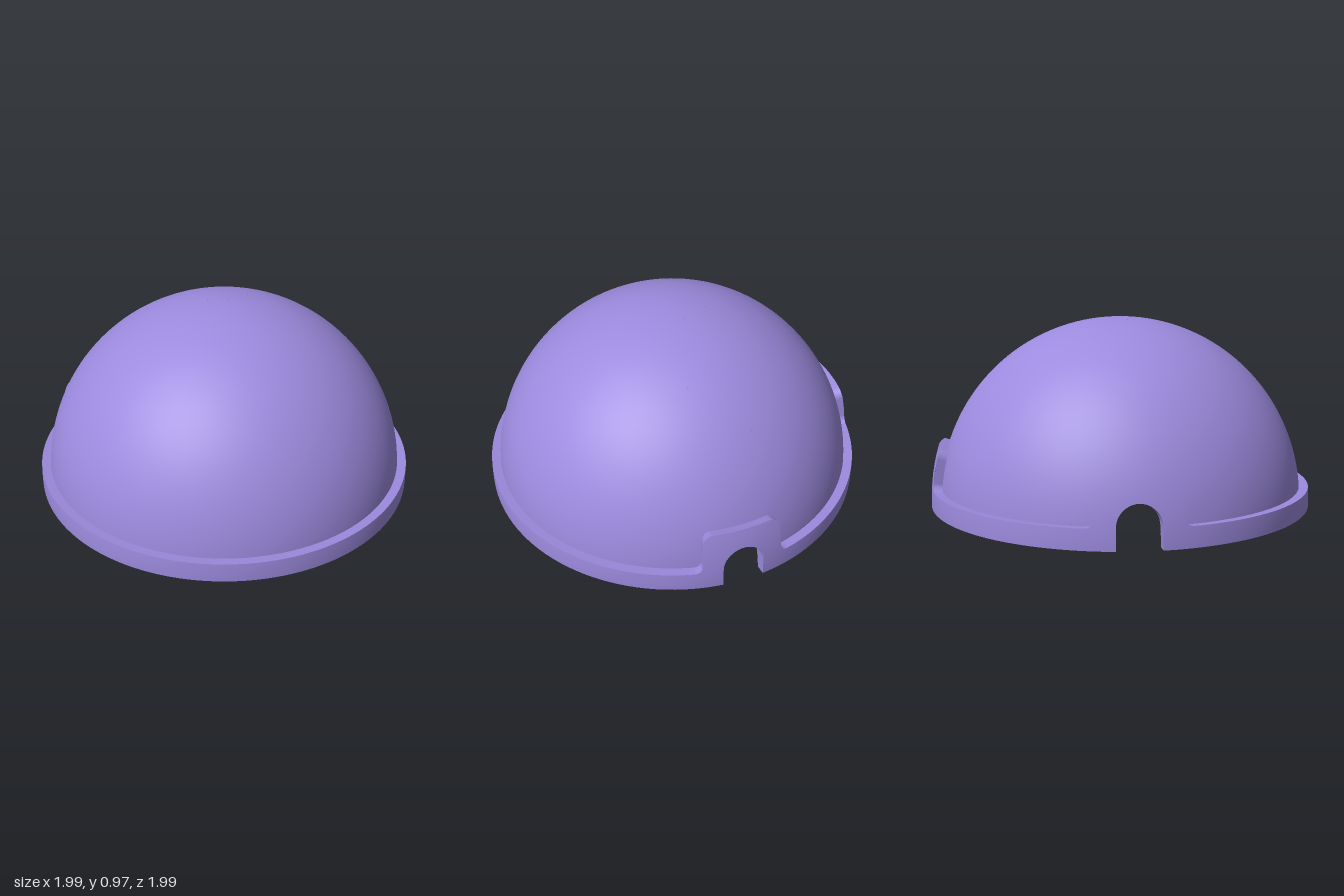
import * as THREE from 'three';
import { toCreasedNormals } from 'three/addons/utils/BufferGeometryUtils.js';

const CY = 0.02;            // height of the sphere centre
const R_RIM = 1, R_DOME = 0.953;
const RIM_TOP = 0.1, TAB_TOP = 0.31;
const SLOT = 0.105;         // half width of the arched slot

const elev = (y) => Math.asin(y - CY);
// Inner wall, opening slightly towards the base
const innerR = (e) => 0.935 + 0.02 * Math.min(1, Math.max(0, 1 - e / 0.1));

// Half of a raised tab: columns of [sideways offset, top height, bottom height]
function halfTab() {
  const cols = [];
  for (let i = 0; i <= 12; i++) {
    const a = (i / 12) * Math.PI / 2;
    cols.push([SLOT * Math.sin(a), TAB_TOP, SLOT + SLOT * Math.cos(a)]);
  }
  cols.push([SLOT, TAB_TOP, 0]);                       // straight slot wall
  for (let i = 0; i <= 6; i++) {                       // rounded shoulder
    const a = (i / 6) * Math.PI / 2;
    cols.push([0.155 + 0.05 * Math.sin(a), 0.26 + 0.05 * Math.cos(a), 0]);
  }
  for (let i = 0; i <= 6; i++) {                       // fillet into the rim
    const a = (i / 6) * Math.PI / 2;
    cols.push([0.245 - 0.04 * Math.cos(a), 0.14 - 0.04 * Math.sin(a), 0]);
  }
  return cols;
}

// All columns around the dome: azimuth, top and bottom elevation
function makeColumns() {
  const half = halfTab();
  const tab = [...half.slice(1).reverse().map(([s, t, b]) => [-s, t, b]), ...half];
  const edge = Math.asin(0.245);
  const cols = [];
  const add = (phi, t, b) => cols.push({ phi, top: elev(t), bottom: elev(b) });
  const addTab = (phi) => tab.forEach(([s, t, b]) => add(phi + Math.asin(s), t, b));
  const addPlain = (from, to, n) => {
    for (let i = 1; i < n; i++) add(from + (to - from) * i / n, RIM_TOP, 0);
  };
  addTab(Math.PI);
  addPlain(Math.PI + edge, Math.PI * 1.5 - edge, 24);
  addTab(Math.PI * 1.5);
  addPlain(Math.PI * 1.5 + edge, Math.PI * 3 - edge, 90);
  cols.push({ ...cols[0], phi: cols[0].phi + Math.PI * 2 });
  return cols;
}

// Surface band over all columns; at(col, v) gives [elevation, radius].
// side is 1 or -1 for spherical bands, 0 for cut edges.
function band(cols, rows, side, at) {
  const pos = [], nor = [], idx = [];
  const w = rows + 1;
  cols.forEach((c, i) => {
    for (let j = 0; j <= rows; j++) {
      const [e, r] = at(c, j / rows);
      const d = [Math.cos(e) * Math.cos(c.phi), Math.sin(e), Math.cos(e) * Math.sin(c.phi)];
      pos.push(r * d[0], Math.max(0, r * d[1] + CY), r * d[2]);
      nor.push(d[0] * side, d[1] * side, d[2] * side);
      if (i < cols.length - 1 && j < rows) {
        const a = i * w + j;
        idx.push(a, a + 1, a + w, a + 1, a + w + 1, a + w);
      }
    }
  });
  const g = new THREE.BufferGeometry();
  g.setAttribute('position', new THREE.Float32BufferAttribute(pos, 3));
  g.setIndex(idx);
  if (side) {
    g.setAttribute('normal', new THREE.Float32BufferAttribute(nor, 3));
    return g;
  }
  return toCreasedNormals(g, 0.6);
}

export function createModel() {
  const group = new THREE.Group();
  group.name = 'domeCover';
  const material = new THREE.MeshStandardMaterial({ color: 0x9c8ade });
  const cols = makeColumns();
  const lerp = THREE.MathUtils.lerp;
  const TOP = Math.PI / 2;

  const add = (name, geometry) => {
    const mesh = new THREE.Mesh(geometry, material);
    mesh.name = name;
    group.add(mesh);
  };

  // Raised rim with its two slotted tabs
  add('rimAndTabs', band(cols, 4, 1, (c, v) => [lerp(c.bottom, c.top, v), R_RIM]));
  // Step from the rim in to the dome
  add('rimLedge', band(cols, 1, 0, (c, v) => [c.top, lerp(R_RIM, R_DOME, v)]));
  // Smooth outer dome
  add('dome', band(cols, 36, 1, (c, v) => [lerp(c.top, TOP, v), R_DOME]));
  // Hollow inside
  add('innerShell', band(cols, 40, -1, (c, v) => {
    const e = lerp(TOP, c.bottom, v);
    return [e, innerR(e)];
  }));
  // Base edge and slot walls
  add('baseEdge', band(cols, 1, 0, (c, v) => [c.bottom, lerp(innerR(c.bottom), R_RIM, v)]));
  return group;
}
